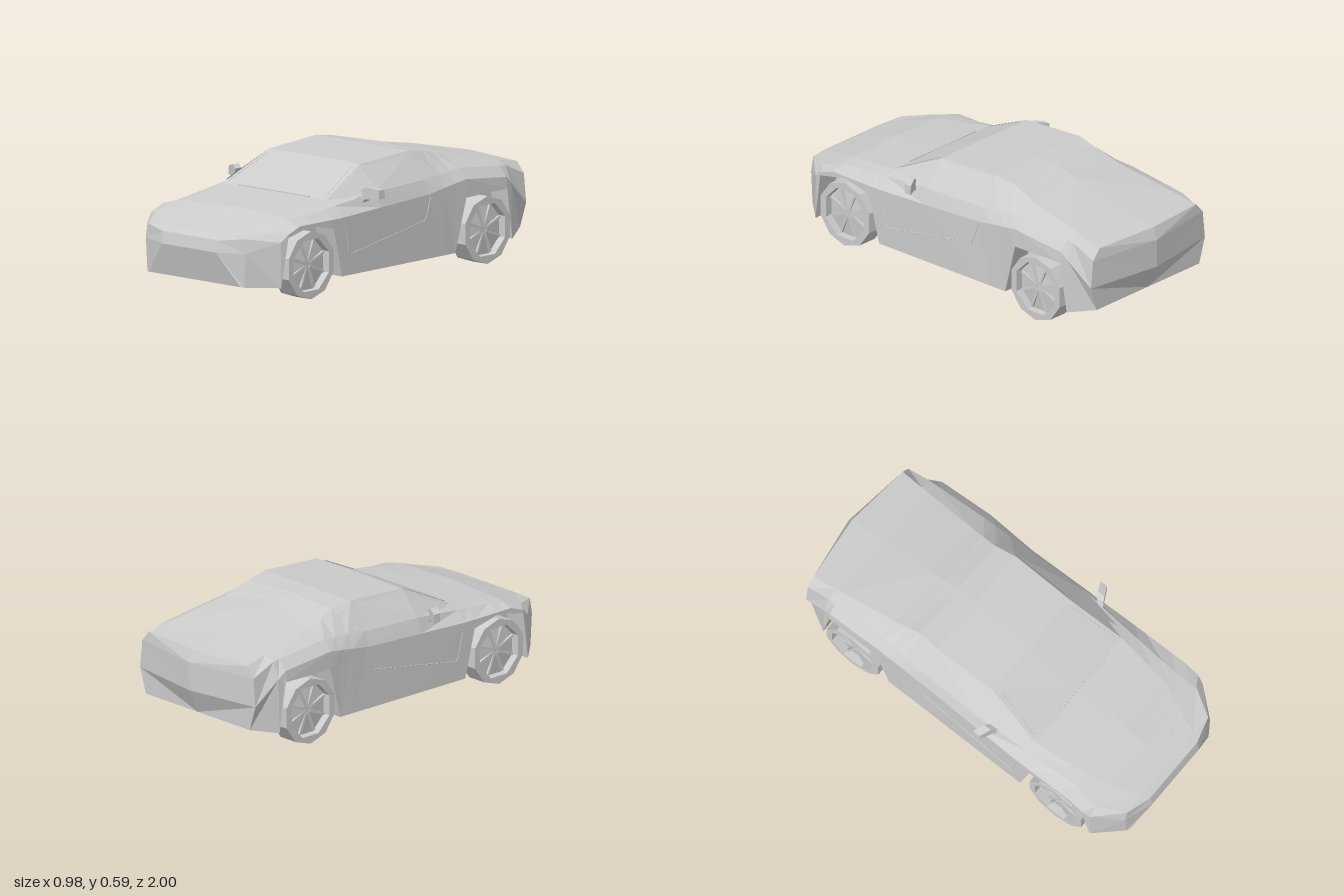
import * as THREE from 'three';

const grey = new THREE.MeshStandardMaterial({ color: 0xcccccc, flatShading: true });
const thin = new THREE.MeshStandardMaterial({ color: 0xcccccc, flatShading: true, side: THREE.DoubleSide });
const V = (x, y, z) => new THREE.Vector3(x, y, z);

// Guide rails along one side of the body, each point [x, y, z] from nose to tail
const topRail = [[0, .322, .95], [0, .407, .7], [0, .44, .4], [0, .573, .12], [0, .59, -.22], [0, .582, -.33], [0, .482, -.77], [0, .45, -.94]];
const edgeRail = [[.2, .322, .95], [.3, .395, .7], [.335, .435, .4], [.295, .568, .12], [.3, .588, -.22], [.285, .572, -.33], [.3, .525, -.48], [.34, .443, -.94]];
const beltRail = [[.31, .32, .95], [.385, .345, .82], [.372, .385, .7], [.39, .415, .4], [.41, .45, .12], [.4, .46, -.22], [.39, .48, -.48], [.385, .445, -.81], [.385, .39, -.94]];
const shoulderRail = [[.325, .25, .95], [.432, .3, .82], [.445, .335, .78], [.445, .365, .7], [.445, .365, .4], [.43, .39, -.22], [.435, .43, -.48], [.43, .4, -.77], [.4, .25, -.94]];
// The lip rises over the wheel arches
const lipRail = [[.315, .085, .95], [.435, .08, .82], [.445, .32, .78], [.445, .355, .62], [.445, .32, .46], [.442, .08, .4],
  [.43, .08, -.41], [.437, .34, -.48], [.435, .345, -.77], [.43, .095, -.81], [.36, .125, -.94]];
const floorRail = [[0, .085, .95], [0, .08, .82], [0, .08, -.77], [0, .095, -.81], [0, .125, -.94]];

function onRail(rail, z) {
  let i = 0;
  while (i < rail.length - 2 && rail[i + 1][2] > z) i++;
  const a = V(...rail[i]), b = V(...rail[i + 1]);
  return a.lerp(b, (z - a.z) / (b.z - a.z));
}

// Close a half section: wheel well inner wall, then the floor to the centre
function withFloor(pts, floor) {
  const lip = pts[4], inner = Math.min(lip.x, .325);
  return [...pts, V(inner, lip.y, lip.z), V(inner, floor, lip.z), V(0, floor, lip.z)];
}

const noseSection = withFloor([V(0, .305, .985), V(.18, .305, .985), V(.18, .3, .987), V(.175, .245, 1), V(.3, .087, .96)], .087);
const sections = [noseSection, ...[.95, .82, .78, .7, .62, .46, .4, .12, -.22, -.33, -.41, -.48, -.77, -.81, -.94].map(z =>
  withFloor([topRail, edgeRail, beltRail, shoulderRail, lipRail].map(r => onRail(r, z)), onRail(floorRail, z).y))];
const tailSection = sections[sections.length - 1];
tailSection[0].z = -.975;

function makeBody() {
  const pos = [];
  const tri = (a, b, c) => {
    for (const p of [a, b, c]) pos.push(p.x, p.y, p.z);
    for (const p of [a, c, b]) pos.push(-p.x, p.y, p.z);
  };
  const quad = (a, b, c, d) => { tri(a, b, c); tri(a, c, d); };
  for (let i = 0; i < sections.length - 1; i++) {
    const s = sections[i], t = sections[i + 1];
    for (let j = 0; j < s.length - 1; j++) quad(s[j], s[j + 1], t[j + 1], t[j]);
  }
  // End faces, the tail swelling to a shallow point in plan
  const midline = (s, bulge) => s.map((p, j) => j === 1 ? s[0] : V(0, p.y, p.z - (j === 2 || j === 3 ? bulge : 0)));
  const noseMid = midline(noseSection, 0), tailMid = midline(tailSection, .06);
  for (let j = 1; j < 4; j++) {
    quad(noseMid[j], noseMid[j + 1], noseSection[j + 1], noseSection[j]);
    quad(tailSection[j], tailSection[j + 1], tailMid[j + 1], tailMid[j]);
  }
  const g = new THREE.BufferGeometry();
  g.setAttribute('position', new THREE.Float32BufferAttribute(pos, 3));
  g.computeVertexNormals();
  return g;
}

// Half width of the body at a given z and height
function sideX(z, y) {
  const row = [edgeRail, beltRail, shoulderRail, lipRail].map(r => onRail(r, z));
  let j = 0;
  while (j < 2 && row[j + 1].y > y) j++;
  return THREE.MathUtils.mapLinear(y, row[j].y, row[j + 1].y, row[j].x, row[j + 1].x);
}

// Flat pane laid on the body side, corners given as [z, y]
function sidePane(corners) {
  const g = new THREE.ShapeGeometry(new THREE.Shape(corners.map(c => new THREE.Vector2(...c))));
  const p = g.attributes.position;
  for (let i = 0; i < p.count; i++) {
    const z = p.getX(i), y = p.getY(i);
    p.setXYZ(i, sideX(z, y) + .004, y, z);
  }
  g.computeVertexNormals();
  return g;
}

function seam(points) {
  const path = new THREE.CurvePath();
  for (let i = 1; i < points.length; i++) path.add(new THREE.LineCurve3(points[i - 1], points[i]));
  return new THREE.TubeGeometry(path, 36, .002, 4);
}

// Door outline sampled along the body side
function doorOutline() {
  const corners = [[.39, .37], [.35, .18], [-.2, .27], [-.26, .46], [-.31, .555]];
  const line = [];
  for (let i = 0; i < corners.length - 1; i++) {
    for (let k = 0; k < 5; k++) {
      const [z, y] = [0, 1].map(n => THREE.MathUtils.lerp(corners[i][n], corners[i + 1][n], k / 5));
      line.push(V(sideX(z, y), y, z));
    }
  }
  return line;
}

// Mirror head and stalk, swept backward away from the body
function makeWingMirror() {
  const shape = new THREE.Shape([[.395, .41], [.412, .41], [.425, .427], [.49, .43], [.487, .474],
    [.435, .487], [.408, .472], [.415, .44], [.39, .44]].map(c => new THREE.Vector2(...c)));
  const g = new THREE.ExtrudeGeometry(shape, { depth: .04, bevelEnabled: false });
  const p = g.attributes.position;
  for (let i = 0; i < p.count; i++) p.setZ(i, p.getZ(i) + .2 - (p.getX(i) - .39) * .5);
  g.computeVertexNormals();
  return g;
}

// Copy across x = 0, with the corner order turned to keep faces outward
function mirrorX(geometry) {
  const g = geometry.index ? geometry.toNonIndexed() : geometry.clone();
  g.scale(-1, 1, 1);
  const p = g.attributes.position;
  for (let i = 0; i < p.count; i += 3) {
    const a = V().fromBufferAttribute(p, i + 1), b = V().fromBufferAttribute(p, i + 2);
    p.setXYZ(i + 1, b.x, b.y, b.z);
    p.setXYZ(i + 2, a.x, a.y, a.z);
  }
  g.computeVertexNormals();
  return g;
}

const polygon = (n, r, turn) => Array.from({ length: n }, (_, i) => {
  const a = turn + i * Math.PI * 2 / n;
  return new THREE.Vector2(Math.cos(a) * r, Math.sin(a) * r);
});

function add(parent, name, geometry, material = grey) {
  const m = new THREE.Mesh(geometry, material);
  m.name = name;
  parent.add(m);
  return m;
}

// Ten-sided tyre with an eight-sided spoked rim, facing +z
function makeWheel() {
  const w = new THREE.Group();
  const shape = new THREE.Shape(polygon(10, .165, -Math.PI / 2));
  shape.holes.push(new THREE.Path(polygon(8, .134, Math.PI / 8)));
  add(w, 'tyre', new THREE.ExtrudeGeometry(shape, { depth: .105, bevelEnabled: false }));
  const octagon = (top, height) => new THREE.CylinderGeometry(top, .136, height, 8).rotateX(Math.PI / 2).rotateZ(Math.PI / 8);
  add(w, 'rimBack', octagon(.136, .06)).position.z = .035;
  add(w, 'rimDisc', octagon(.03, .015)).position.z = .073;
  for (let i = 0; i < 8; i++) {
    const s = add(w, 'spoke', new THREE.BoxGeometry(.012, .11, .012).translate(0, .068, 0));
    s.position.z = .077;
    s.rotation.z = (i + .5) * Math.PI / 4;
  }
  return w;
}

export function createModel() {
  const car = new THREE.Group();
  car.name = 'car';
  add(car, 'body', makeBody());

  const sideParts = [
    ['front quarter window', sidePane([[.35, .437], [.13, .455], [.13, .555]]), thin],
    ['side window', sidePane([[.12, .455], [.12, .557], [-.21, .577], [-.21, .466]]), thin],
    ['rear quarter window', sidePane([[-.25, .475], [-.28, .555], [-.32, .55], [-.4, .505]]), thin],
    ['door seam', seam(doorOutline()), grey],
    ['windscreen seam', seam([V(.315, .445, .385), V(.272, .558, .15)]), grey],
    ['wing mirror', makeWingMirror(), grey],
  ];
  for (const side of [1, -1]) {
    const label = side > 0 ? 'left' : 'right';
    for (const [name, g, mat] of sideParts) add(car, `${label} ${name}`, side > 0 ? g : mirrorX(g), mat);
    for (const z of [.62, -.62]) {
      const w = makeWheel();
      w.name = `${label} ${z > 0 ? 'front' : 'rear'} wheel`;
      w.rotation.y = side * Math.PI / 2;
      w.position.set(side * .34, .165, z);
      car.add(w);
    }
  }
  // Cowl strip at the foot of the windscreen
  add(car, 'cowl strip', new THREE.BoxGeometry(.46, .004, .008)).position.set(0, .441, .4);
  return car;
}
